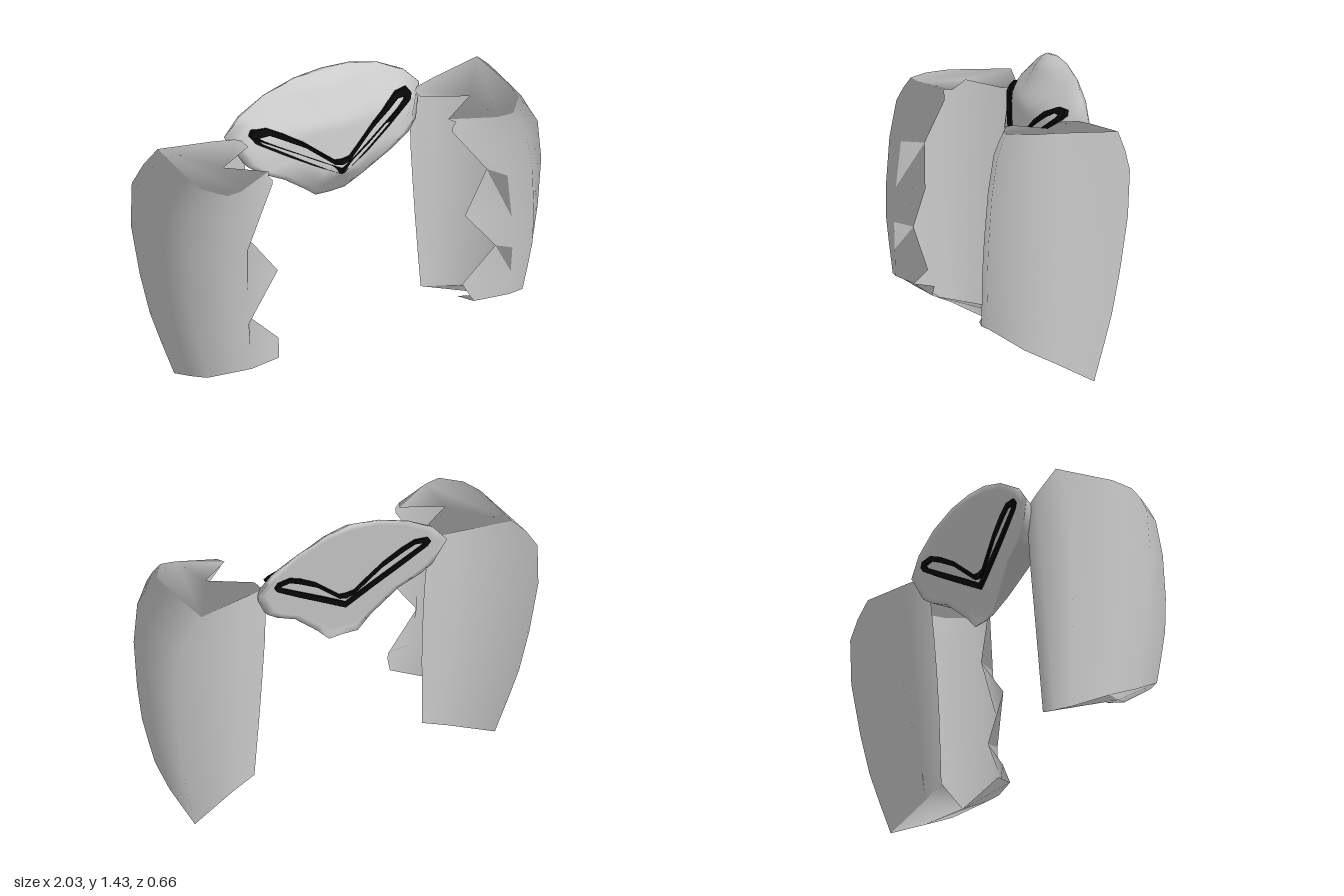
import * as THREE from 'three';

const grey = new THREE.MeshStandardMaterial({ color: 0xcccccc, side: THREE.DoubleSide });
const black = new THREE.MeshStandardMaterial({ color: 0x080808, side: THREE.DoubleSide });

function surface(name, points, index) {
  const g = new THREE.BufferGeometry();
  g.setAttribute('position', new THREE.Float32BufferAttribute(points.flat(), 3));
  g.setIndex(index);
  g.computeVertexNormals();
  const mesh = new THREE.Mesh(g, grey);
  mesh.name = name;
  return mesh;
}

// Columns of the side guard wall, from its inner back edge round to the front
const wallColumns = [
  [[0.47, 1.2, -0.22], [0.45, 1.05, -0.21], [0.45, 0.6, -0.17], [0.47, 0.13, -0.14]],
  [[0.6, 1.21, -0.25], [0.6, 1.05, -0.245], [0.6, 0.6, -0.2], [0.6, 0.085, -0.155]],
  [[0.87, 1.215, -0.31], [1, 1.05, -0.33], [0.96, 0.43, -0.27], [0.84, 0, -0.2]],
  [[0.88, 1.225, 0], [0.99, 1.05, 0], [0.96, 0.5, 0], [0.86, 0.1, 0]],
  [[0.86, 1.22, 0.12], [0.95, 1.08, 0.15], [0.93, 0.5, 0.16], [0.85, 0.17, 0.15]],
  [[0.78, 1.215, 0.22], [0.82, 1.1, 0.28], [0.83, 0.6, 0.33], [0.78, 0.27, 0.31]],
  [[0.7, 1.21, 0.21], [0.7, 1.1, 0.26], [0.72, 0.6, 0.32], [0.7, 0.27, 0.32]],
];
// Toothed front edge
const jaggedEdge = [
  [0.51, 1.2, 0.14], [0.49, 1.175, 0.14], [0.49, 1.15, 0.14], [0.65, 0.92, 0.19],
  [0.51, 0.72, 0.23], [0.67, 0.51, 0.24], [0.5, 0.33, 0.22], [0.53, 0.26, 0.28],
];
const rowSteps = [0, 0.5, 1, 1.4, 1.8, 2.2, 2.6, 3];

function sideGuard(side) {
  const columns = wallColumns.map(keys => {
    const curve = new THREE.CatmullRomCurve3(keys.map(k => new THREE.Vector3(...k)));
    return rowSteps.map(t => curve.getPoint(t / 3).toArray());
  });
  columns.push(jaggedEdge);

  // Wrapped wall
  const rows = rowSteps.length;
  const points = columns.flat(), index = [];
  for (let c = 0; c < columns.length - 1; c++) {
    for (let r = 0; r < rows - 1; r++) {
      const a = c * rows + r, b = a + rows;
      index.push(a, a + 1, b, b, a + 1, b + 1);
    }
  }

  // Notched end plates sharing the rim of the wall
  const cap = (row, notch, up) => {
    const ids = columns.map((_, c) => c * rows + row);
    for (const p of notch) ids.push(points.push(p) - 1);
    const flat = ids.map(i => new THREE.Vector2(points[i][0], points[i][2]));
    for (const [a, b, c] of THREE.ShapeUtils.triangulateShape(flat, [])) {
      index.push(ids[a], ids[up ? c : b], ids[up ? b : c]);
    }
  };
  cap(0, [[0.49, 1.2, 0.1], [0.67, 1.21, -0.02], [0.47, 1.2, -0.14]], true);
  cap(rows - 1, [[0.49, 0.25, 0.19], [0.72, 0.16, 0.13]], false);

  // Mirror by side, keeping the faces turned outwards
  if (side < 0) index.reverse();
  const mesh = surface(side > 0 ? 'leftGuard' : 'rightGuard',
    points.map(([x, y, z]) => [x * side, y, z]), index);

  // Soft shading that wraps round an upright axis
  const normals = mesh.geometry.attributes.normal;
  const v = new THREE.Vector3();
  points.forEach(([x, , z], i) => {
    v.set((x - 0.5) * side, 0, z).normalize();
    normals.setXYZ(i, v.x, v.y, v.z);
  });
  return mesh;
}

const over = v => Math.max(0, v);
const softAbs = x => Math.sqrt(x * x + 0.01) - 0.1;

// Bowed front and nearly flat back of the brow plate
function frontDepth(x, y) {
  const ax = softAbs(x);
  return -0.06 - 0.22 * ax - 0.12 * over(y - 1) - 0.48 * over(y - 1.22)
    - 12 * over(y - 1.38) ** 2 - 5 * over(Math.abs(x) - 0.4) ** 2
    - 1.2 * ax * over(y - 1.2) - 0.68 * over(0.96 - y);
}
function backDepth(x, y) {
  return Math.min(-0.175 - 0.15 * (y - 0.79) - 0.08 * softAbs(x), frontDepth(x, y) - 0.005);
}

// Closes a half outline whose first and last points lie on x = 0
function mirrored(half) {
  return [...half, ...half.slice(1, -1).reverse().map(([x, y]) => [-x, y])];
}

function browPlate() {
  const outline = mirrored([
    [0, 0.79], [0.08, 0.79], [0.15, 0.86], [0.29, 0.98], [0.4, 1.03], [0.46, 1.07],
    [0.53, 1.2], [0.45, 1.29], [0.31, 1.37], [0.15, 1.42], [0, 1.435],
  ]);
  const steps = 12, n = outline.length, cy = 1.13;
  const points = [], index = [];
  // Rings run from the middle of the front out to the rim and back in behind
  for (let k = 0; k < 2 * steps; k++) {
    const front = k < steps;
    const s = (front ? k + 1 : 2 * steps - k) / steps;
    outline.forEach(([px, py], i) => {
      const x = px * s, y = cy + (py - cy) * s;
      points.push([x, y, front ? frontDepth(x, y) : backDepth(x, y)]);
      const j = (i + 1) % n, a = k * n + i, b = k * n + j;
      if (k > 0) index.push(a - n, a, b, a - n, b, b - n);
    });
  }
  const f = points.push([0, cy, frontDepth(0, cy)]) - 1;
  const r = points.push([0, cy, backDepth(0, cy)]) - 1;
  const last = (2 * steps - 1) * n;
  for (let i = 0; i < n; i++) {
    const j = (i + 1) % n;
    index.push(f, i, j, r, last + j, last + i);
  }
  return surface('browPlate', points, index);
}

// Dark V-shaped rim running through the plate and showing on both sides
function chevronRim() {
  const loop = half => mirrored(half).map(([x, y]) => new THREE.Vector2(x, y));
  const shape = new THREE.Shape(loop([
    [0, 0.95], [0.14, 1.03], [0.28, 1.11], [0.42, 1.195], [0.437, 1.22], [0.42, 1.245],
    [0.35, 1.25], [0.28, 1.22], [0.19, 1.165], [0.04, 1.04], [0, 1.035],
  ]));
  shape.holes.push(new THREE.Path(loop([
    [0, 0.983], [0.13, 1.058], [0.26, 1.131], [0.39, 1.205], [0.4, 1.22],
    [0.35, 1.224], [0.29, 1.195], [0.18, 1.133], [0.04, 1.016], [0, 1.006],
  ])));
  const g = new THREE.ExtrudeGeometry(shape, { depth: 1, bevelEnabled: false });
  const p = g.attributes.position;
  for (let i = 0; i < p.count; i++) {
    const x = p.getX(i), y = p.getY(i);
    p.setZ(i, p.getZ(i) > 0.5 ? frontDepth(x, y) + 0.01 : backDepth(x, y) - 0.01);
  }
  g.computeVertexNormals();
  const mesh = new THREE.Mesh(g, black);
  mesh.name = 'chevronRim';
  return mesh;
}

export function createModel() {
  const model = new THREE.Group();
  model.name = 'armourPlates';
  model.add(browPlate(), chevronRim(), sideGuard(1), sideGuard(-1));
  return model;
}
